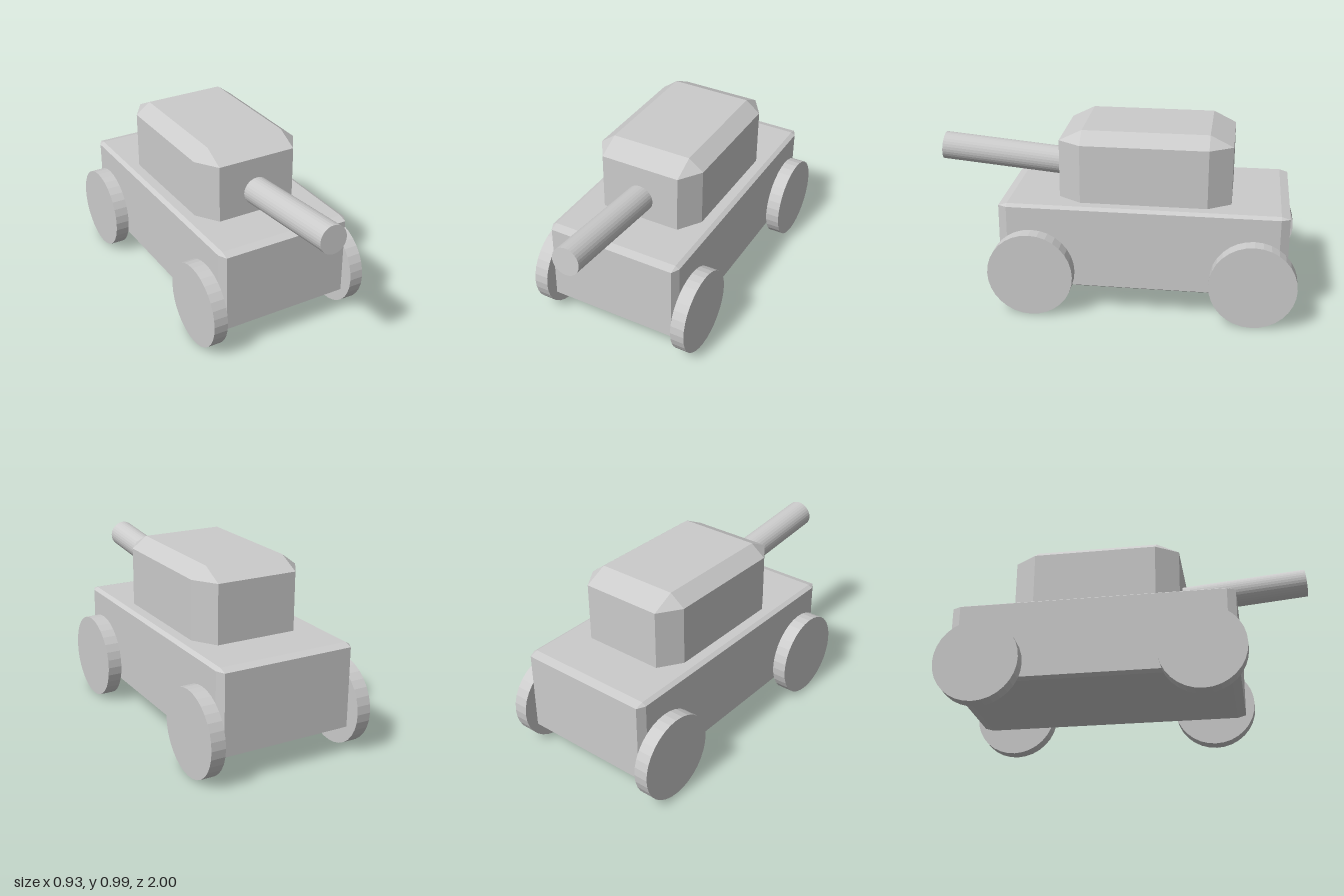
import * as THREE from 'three';
import { ConvexGeometry } from 'three/addons/geometries/ConvexGeometry.js';

const material = new THREE.MeshStandardMaterial({ color: 0xcccccc, flatShading: true });

function addMesh(parent, name, geometry) {
  const mesh = new THREE.Mesh(geometry, material);
  mesh.name = name;
  parent.add(mesh);
  return mesh;
}

// Box whose chamfers are a fixed fraction of each dimension
function chamferedBox(width, height, depth, ratio) {
  const half = [width / 2, height / 2, depth / 2];
  const inner = half.map((h) => h * (1 - 2 * ratio));
  const points = [];
  for (const sx of [-1, 1]) for (const sy of [-1, 1]) for (const sz of [-1, 1]) {
    for (let axis = 0; axis < 3; axis++) {
      const [x, y, z] = half.map((h, i) => (i === axis ? h : inner[i]));
      points.push(new THREE.Vector3(sx * x, sy * y, sz * z));
    }
  }
  return new ConvexGeometry(points);
}

export function createModel() {
  const model = new THREE.Group();
  model.name = 'toyTank';

  // Hull
  addMesh(model, 'hull', chamferedBox(0.774, 0.465, 1.552, 0.03)).position.set(0, 0.373, -0.168);

  // Turret, its lower chamfer sunk into the hull
  addMesh(model, 'turret', chamferedBox(0.618, 0.463, 0.932, 0.134)).position.set(0, 0.756, -0.169);

  // Gun barrel, tilted slightly upward and rooted in the turret
  const tip = new THREE.Vector3(0, 0.795, 0.993);
  const tilt = THREE.MathUtils.degToRad(5.1);
  const length = 0.85;
  const barrel = addMesh(model, 'barrel', new THREE.CylinderGeometry(0.077, 0.077, length, 32));
  barrel.rotation.x = Math.PI / 2 - tilt;
  barrel.position.copy(tip).addScaledVector(
    new THREE.Vector3(0, Math.sin(tilt), Math.cos(tilt)), -length / 2);

  // Four disc wheels
  const wheelGeometry = new THREE.CylinderGeometry(0.233, 0.233, 0.079, 32).rotateZ(Math.PI / 2);
  for (const [side, x] of [['left', 0.427], ['right', -0.427]]) {
    for (const [end, z] of [['Front', 0.427], ['Rear', -0.767]]) {
      addMesh(model, `${side}${end}Wheel`, wheelGeometry).position.set(x, 0.233, z);
    }
  }

  return model;
}
